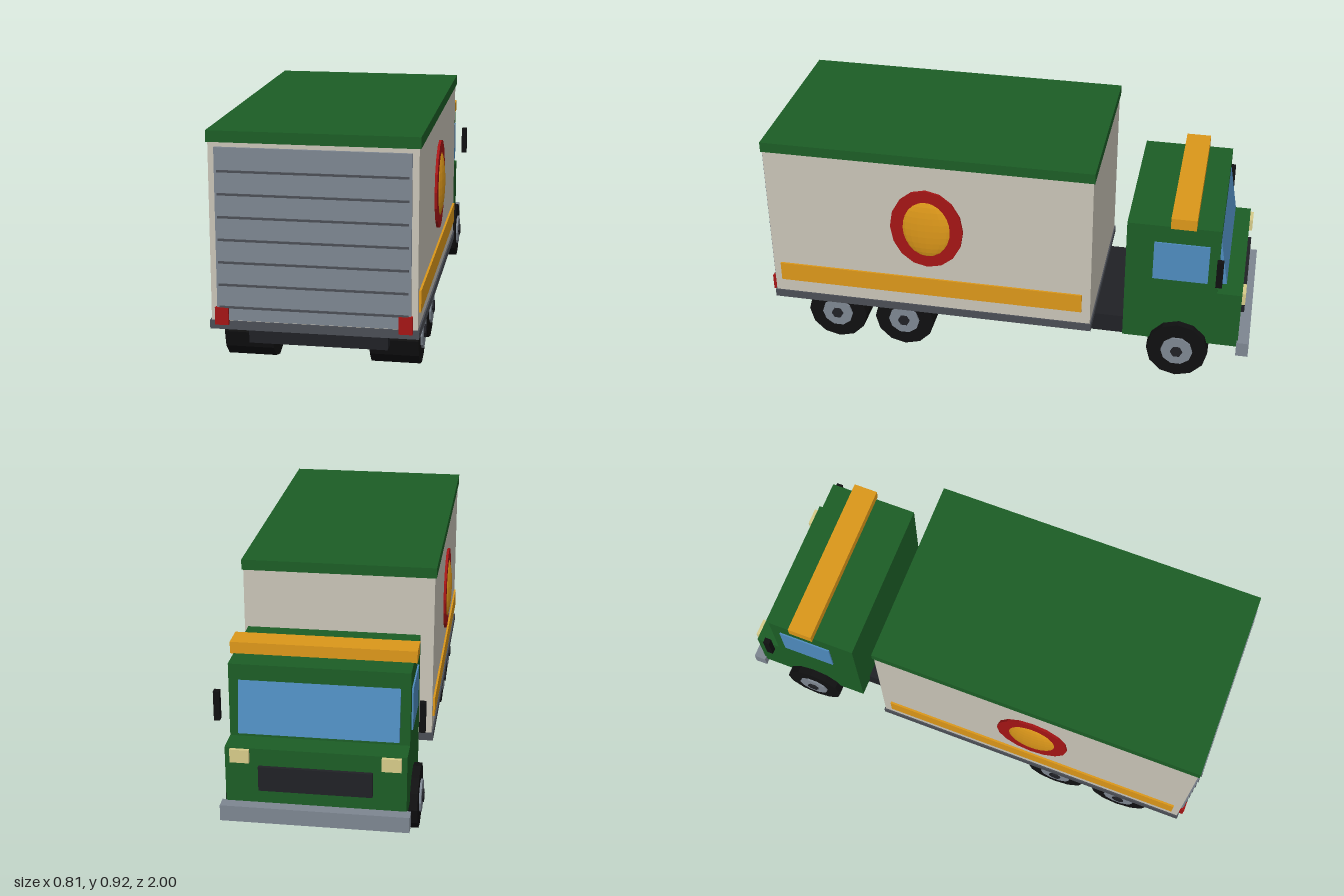
import * as THREE from 'three';

const mat = (color) => new THREE.MeshStandardMaterial({ color, flatShading: true });

export function createModel() {
  const truck = new THREE.Group();
  truck.name = 'boxTruck';
  const green = mat(0x1c5e26), cream = mat(0xcac5b8), amber = mat(0xdd981a), red = mat(0xa51515);
  const steel = mat(0x7e8792), darkSteel = mat(0x4b4e55), dark = mat(0x202126), rubber = mat(0x101011);
  const glass = mat(0x4f8cbf), lamp = mat(0xd8cc8a);

  function add(name, geometry, material, parent = truck) {
    const mesh = new THREE.Mesh(geometry, material);
    mesh.name = name;
    parent.add(mesh);
    return mesh;
  }
  // box given by its limits on each axis
  function box(name, material, [x0, x1], [y0, y1], [z0, z1], parent) {
    const g = new THREE.BoxGeometry(x1 - x0, y1 - y0, z1 - z0);
    g.translate((x0 + x1) / 2, (y0 + y1) / 2, (z0 + z1) / 2);
    return add(name, g, material, parent);
  }
  const span = (h) => [-h, h];
  // the same box on both sides of the truck
  function pair(name, material, [x0, x1], y, z) {
    box('left' + name, material, [x0, x1], y, z);
    box('right' + name, material, [-x1, -x0], y, z);
  }

  // chassis and cargo box
  box('chassis', dark, span(0.26), [0.105, 0.186], [-0.88, 0.9]);
  box('cargoFloor', darkSteel, span(0.385), [0.184, 0.217], [-0.36, 0.985]);
  box('cargoBox', cream, span(0.379), [0.217, 0.882], [-0.355, 0.98]);
  box('cargoRoof', green, span(0.385), [0.882, 0.924], [-0.36, 0.985]);
  pair('Stripe', amber, [0.375, 0.387], [0.275, 0.356], [-0.32, 0.95]);

  // roll-up door with seams, tail lamps
  box('rollDoor', steel, span(0.355), [0.222, 0.865], [0.97, 0.991]);
  for (let i = 0; i < 7; i++) {
    const y = 0.272 + i * 0.0845;
    box('doorSeam', darkSteel, span(0.346), [y - 0.004, y + 0.004], [0.98, 0.996]);
  }
  pair('TailLamp', red, [0.312, 0.362], [0.205, 0.27], [0.97, 1]);

  // oval side badges: flat rim and domed centre
  for (const s of [1, -1]) {
    const badge = new THREE.Group();
    badge.name = s > 0 ? 'leftBadge' : 'rightBadge';
    badge.position.set(s * 0.38, 0.597, 0.315);
    const rim = add('badgeRim', new THREE.CylinderGeometry(1, 1, 0.018, 16).rotateZ(Math.PI / 2), red, badge);
    rim.scale.set(1, 0.178, 0.15);
    const dome = add('badgeDome', new THREE.SphereGeometry(1, 20, 14), amber, badge);
    dome.scale.set(0.024, 0.136, 0.106);
    truck.add(badge);
  }

  // cab: side profile extruded across the width
  const profile = new THREE.Shape([
    [0.485, 0.155], [0.955, 0.155], [0.955, 0.405], [0.855, 0.405], [0.855, 0.695], [0.485, 0.695],
  ].map(([z, y]) => new THREE.Vector2(z, y)));
  const cabGeo = new THREE.ExtrudeGeometry(profile, { depth: 0.674, bevelEnabled: false });
  cabGeo.translate(0, 0, -0.337).rotateY(Math.PI / 2);
  add('cab', cabGeo, green);

  const windscreen = add('windscreen', new THREE.BoxGeometry(0.6, 0.21, 0.02), glass);
  windscreen.position.set(0, 0.533, -0.862);
  windscreen.rotation.x = 0.17;
  pair('DoorWindow', glass, [0.33, 0.343], [0.45, 0.62], [-0.815, -0.595]);
  pair('Mirror', rubber, [0.37, 0.393], [0.47, 0.587], [-0.873, -0.847]);
  box('roofBeacon', amber, span(0.35), [0.694, 0.74], [-0.757, -0.656]);
  box('grille', dark, span(0.212), [0.24, 0.337], [-0.969, -0.95]);
  pair('Headlamp', lamp, [0.245, 0.317], [0.35, 0.402], [-0.969, -0.95]);
  box('frontBumper', steel, span(0.353), [0.122, 0.185], [-1, -0.95]);

  // wheels: tyre, rim and hub cap
  const disc = (r, x0, x1, sides) =>
    new THREE.CylinderGeometry(r, r, x1 - x0, sides).rotateZ(-Math.PI / 2).translate((x0 + x1) / 2, 0, 0);
  for (const [axle, z, inner] of [['front', -0.713, 0.245], ['middle', 0.432, 0.183], ['rear', 0.722, 0.183]]) {
    for (const s of [1, -1]) {
      const wheel = new THREE.Group();
      wheel.name = axle + (s > 0 ? 'LeftWheel' : 'RightWheel');
      wheel.position.set(0, 0.125, z);
      if (s < 0) wheel.rotation.y = Math.PI;
      add('tyre', disc(0.125, inner, 0.367, 12), rubber, wheel);
      add('rim', disc(0.065, 0.3, 0.375, 10), steel, wheel);
      add('hubCap', disc(0.025, 0.3, 0.382, 6), dark, wheel);
      truck.add(wheel);
    }
  }
  return truck;
}
